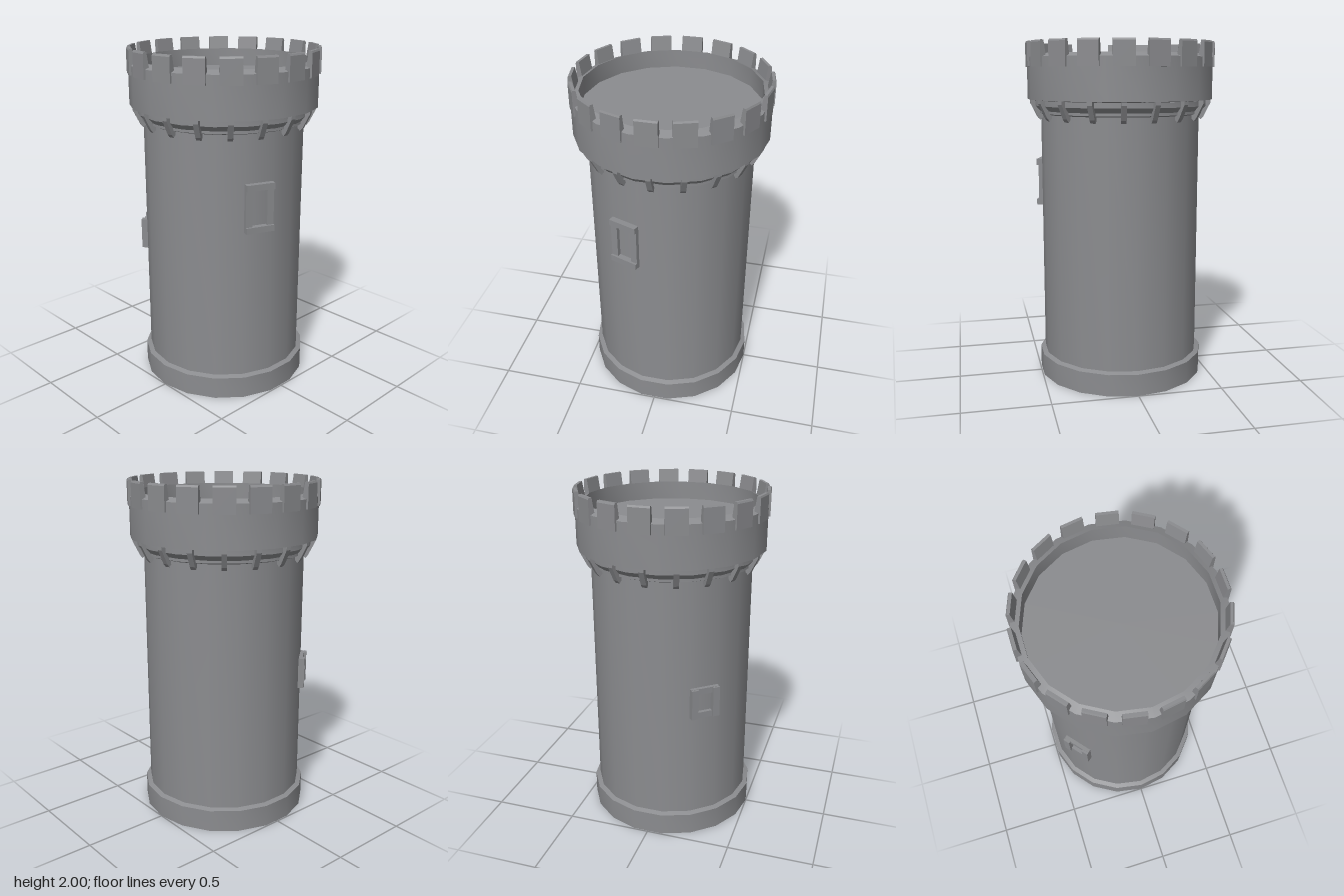
import * as THREE from 'three';
import { toCreasedNormals } from 'three/addons/utils/BufferGeometryUtils.js';

const SIDES = 18;
const STEP = (Math.PI * 2) / SIDES;

export function createModel() {
  const tower = new THREE.Group();
  tower.name = 'tower';
  const stone = new THREE.MeshStandardMaterial({ color: 0x8b8c8f, side: THREE.DoubleSide });
  stone.name = 'greyStone';

  const add = (parent, name, geometry) => {
    const mesh = new THREE.Mesh(geometry, stone);
    mesh.name = name;
    parent.add(mesh);
    return mesh;
  };

  // Eighteen-sided ring with flats facing front and back
  const turned = (name, points) => {
    const profile = points.map(([r, y]) => new THREE.Vector2(r, y));
    const lathe = new THREE.LatheGeometry(profile, SIDES, STEP / 2);
    return add(tower, name, toCreasedNormals(lathe, 0.37));
  };

  // Block with a radial cross-section [radius, height], extruded sideways
  const radialBlock = (section, width) => {
    const shape = new THREE.Shape(section.map(([r, y]) => new THREE.Vector2(r, y)));
    const geometry = new THREE.ExtrudeGeometry(shape, { depth: width, bevelEnabled: false });
    return geometry.translate(0, 0, -width / 2).rotateY(-Math.PI / 2);
  };

  // Open foot and shaft
  turned('base', [[0.5, 0], [0.5, 0.13], [0.472, 0.14]]);
  turned('shaft', [[0.472, 0.14], [0.472, 1.6]]);

  // Stepped moulding under the crown
  turned('moulding', [[0.472, 1.585], [0.49, 1.592], [0.49, 1.607], [0.515, 1.635], [0.515, 1.665]]);

  // Parapet wall with a sloping top, and the roof floor inside it
  turned('parapet', [[0.5, 1.665], [0.55, 1.67], [0.55, 1.91], [0.502, 1.93], [0.502, 1.82]]);
  const floor = add(tower, 'roofFloor', new THREE.CircleGeometry(0.502, SIDES).rotateX(-Math.PI / 2));
  floor.position.y = 1.825;

  // Merlons and brackets centred on every flat
  const merlon = radialBlock(
    [[0.516, 1.9], [0.535, 1.855], [0.553, 1.855], [0.553, 1.99], [0.548, 2], [0.532, 2]], 0.12);
  const bracket = radialBlock([[0.45, 1.58], [0.48, 1.552], [0.495, 1.57], [0.535, 1.65], [0.535, 1.67], [0.46, 1.67]], 0.03);
  for (let i = 0; i < SIDES; i++) {
    add(tower, 'merlon', merlon).rotation.y = i * STEP;
    add(tower, 'bracket', bracket).rotation.y = i * STEP;
  }

  // Window frames: depths are the outer radii of the bars
  const windowFrame = (name, azimuth, bottom, top, crossDepth, jambDepth) => {
    const frame = new THREE.Group();
    frame.name = name;
    frame.rotation.y = azimuth;
    tower.add(frame);
    const bar = (part, x, y, w, h, outer) => {
      const inner = 0.44;
      add(frame, part, new THREE.BoxGeometry(w, h, outer - inner))
        .position.set(x, y, (outer + inner) / 2);
    };
    const t = 0.036;
    bar('lintel', 0, top - t / 2, 0.17, t, crossDepth);
    bar('sill', 0, bottom + t / 2, 0.17, t, crossDepth);
    for (const side of [-1, 1]) {
      bar('jamb', side * 0.065, (top + bottom) / 2, 0.04, top - bottom - 0.004, jambDepth);
    }
  };
  windowFrame('frontWindow', -STEP, 1.03, 1.31, 0.5, 0.487);
  windowFrame('backWindow', STEP * 11, 0.775, 0.96, 0.487, 0.5);

  return tower;
}
